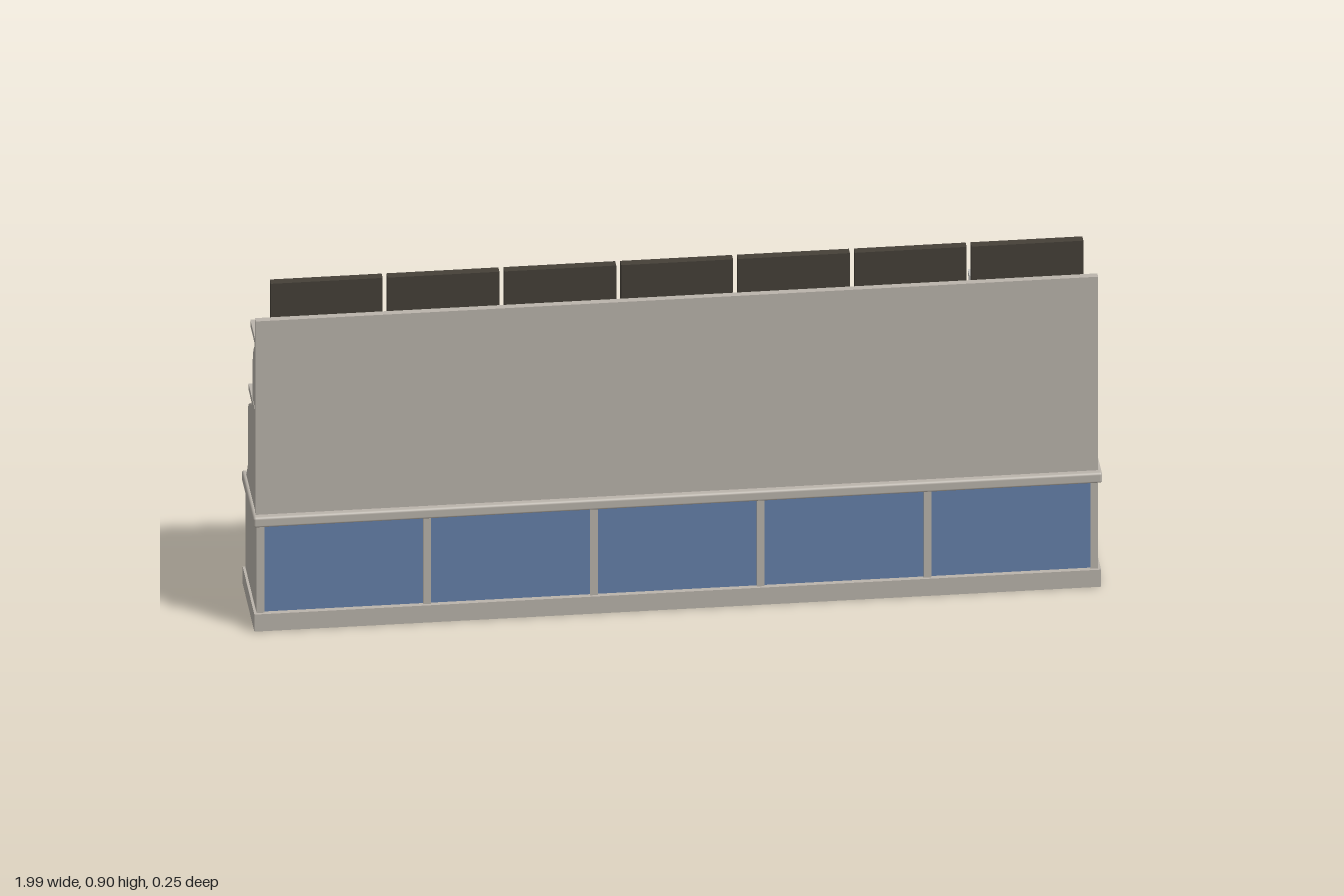
import * as THREE from 'three';
import { RoundedBoxGeometry } from 'three/addons/geometries/RoundedBoxGeometry.js';

const mat = (name, color) => {
  const m = new THREE.MeshStandardMaterial({ color });
  m.name = name;
  return m;
};

export function createModel() {
  const stone = mat('stone paint', 0xbab4ab);
  const glass = mat('blue glass', 0x6580aa);
  const wood = mat('dark wood', 0x454038);
  const taupe = mat('taupe board', 0x7d7666);
  const grey = mat('grey tag', 0xa0a0a0);
  const ochre = mat('ochre card', 0xb09a55);
  const red = mat('red card', 0xa83a35);
  const purple = mat('purple card', 0x8a7b93);
  const black = mat('black card', 0x26262a);
  const white = mat('white card', 0xcbcac6);
  const cards = { o: ochre, r: red, p: purple, b: black, w: white };
  const labels = { o: [ochre, black], r: [ochre, black], p: [white, black], b: [white, black], w: [white, black] };

  const root = new THREE.Group();
  root.name = 'shopShelving';

  // Box from its limits on each axis
  const box = (name, m, [x0, x1], [y0, y1], [z0, z1], parent = root) => {
    const mesh = new THREE.Mesh(new THREE.BoxGeometry(x1 - x0, y1 - y0, z1 - z0), m);
    mesh.position.set((x0 + x1) / 2, (y0 + y1) / 2, (z0 + z1) / 2);
    mesh.name = name;
    parent.add(mesh);
    return mesh;
  };

  // Base cabinet, open towards -z and glazed towards +z
  const uprights = [-0.98, -0.589, -0.198, 0.193, 0.584, 0.975];
  box('plinth', stone, [-0.995, 0.99], [0, 0.045], [-0.117, 0.124]);
  const counter = new THREE.Mesh(new RoundedBoxGeometry(1.99, 0.027, 0.244, 3, 0.006), stone);
  counter.position.set(-0.002, 0.285, 0.001);
  counter.name = 'counter';
  root.add(counter);
  uprights.forEach((x, i) => {
    box('cabinetDivider', stone, [x - 0.009, x + 0.009], [0.045, 0.273], [-0.115, 0.117]);
    if (i < 5) box('glassPane', glass, [x + 0.009, uprights[i + 1] - 0.009], [0.045, 0.273], [0.104, 0.111]);
  });

  // Upper panel and shelves
  box('frontPanel', stone, [-0.99, 0.985], [0.297, 0.808], [0.09, 0.107]);
  [[0.551, -0.041], [0.739, -0.003]].forEach(([y, z]) => {
    box('shelf', stone, [-0.99, 0.985], [y, y + 0.016], [z, 0.09]);
    box('shelfStrip', glass, [-0.97, 0.965], [y - 0.005, y], [z + 0.013, z + 0.019]);
  });

  // Wavy brackets, outline given in z and y
  const bracket = (pts, back) => {
    const s = new THREE.Shape();
    s.moveTo(back, pts[0][1]);
    s.lineTo(...pts[0]);
    s.splineThru(pts.slice(1).map(p => new THREE.Vector2(...p)));
    s.lineTo(back, pts[pts.length - 1][1]);
    const g = new THREE.ExtrudeGeometry(s, {
      depth: 0.014, bevelEnabled: true, bevelSize: 0.002, bevelThickness: 0.002,
      bevelOffset: -0.002, bevelSegments: 2, curveSegments: 20,
    });
    g.translate(0, 0, -0.007);
    return g.rotateY(-Math.PI / 2);
  };
  const lower = bracket([[-0.1, 0.298], [-0.085, 0.315], [-0.066, 0.342], [-0.057, 0.39], [-0.066, 0.44],
    [-0.061, 0.494], [-0.032, 0.52], [0.008, 0.538], [0.016, 0.552]], 0.093);
  const upper = bracket([[0.026, 0.566], [0.03, 0.6], [0.033, 0.66], [0.047, 0.7], [0.072, 0.727], [0.076, 0.74]], 0.093);
  uprights.forEach(x => [['lowerBracket', lower], ['upperBracket', upper]].forEach(([name, g]) => {
    const m = new THREE.Mesh(g, stone);
    m.position.x = x;
    m.name = name;
    root.add(m);
  }));

  // Price tags standing on the counter, two in each bay
  [-0.866, -0.71, -0.497, -0.345, -0.107, 0.03, 0.29, 0.43, 0.68, 0.82].forEach(x => {
    box('priceTag', grey, [x - 0.024, x + 0.024], [0.303, 0.328], [-0.105, -0.101]);
    box('priceTagFoot', grey, [x - 0.024, x + 0.024], [0.298, 0.303], [-0.113, -0.095]);
  });

  // Carton with lid, and printed plates on the shop side and ends
  const carton = (key, x, y, z, w, h, d) => {
    const g = new THREE.Group();
    g.name = 'carton';
    g.position.set(x, y, z);
    root.add(g);
    const [label, ink] = labels[key];
    box('cartonBody', cards[key], [-w / 2, w / 2], [0, h * 0.8], [-d / 2, d / 2], g);
    box('cartonLid', cards[key], [-w / 2 - 0.002, w / 2 + 0.002], [h * 0.76, h], [-d / 2 - 0.002, d / 2 + 0.002], g);
    const print = (len, place) => {
      const p = new THREE.Group();
      p.name = 'cartonPrint';
      place(p);
      g.add(p);
      box('label', label, [-len * 0.38, len * 0.38], [h * 0.15, h * 0.65], [0, 0.0008], p);
      for (let i = -1; i <= 1; i++) {
        const c = i * len * 0.23;
        box('mark', ink, [c - len * 0.075, c + len * 0.075], [h * 0.42, h * 0.56], [0, 0.0016], p);
        box('mark', ink, [c - len * 0.05, c + len * 0.08], [h * 0.2, h * 0.31], [0, 0.0016], p);
      }
    };
    print(w, p => { p.position.z = -d / 2; p.rotation.y = Math.PI; });
    for (const s of [-1, 1]) print(d, p => { p.position.x = s * w / 2; p.rotation.y = s * Math.PI / 2; });
  };

  // Stacks: x position and colours from the bottom up
  const stacks = (list, y, z, w, h, d) => list.forEach(([x, keys]) =>
    [...keys].forEach((k, i) => carton(k, x, y + i * h, z + i * 0.008, w, h, d)));

  stacks([[-0.76, 'w'], [-0.505, 'o'], [-0.253, 'p'], [-0.002, 'r'], [0.25, 'o'], [0.5, 'b'], [0.752, 'w']],
    0.755, 0.052, 0.125, 0.053, 0.03);
  stacks([[0.86, 'w'], [0.77, 'w'], [0.68, 'b'], [0.39, 'bw'], [0.29, 'o'], [0.09, 'b'], [0, 'o'], [-0.1, 'r'],
    [-0.31, 'o'], [-0.4, 'ro'], [-0.49, 'p'], [-0.7, 'r'], [-0.79, 'p'], [-0.88, 'o']],
  0.567, 0.011, 0.08, 0.07, 0.032);
  stacks([[0.87, 'o'], [0.77, 'ww'], [0.67, 'w'], [0.47, 'ww'], [0.37, 'w'], [0.275, 'wb'], [0.09, 'b'],
    [-0.01, 'oo'], [-0.11, 'r'], [-0.31, 'rr'], [-0.41, 'p'], [-0.5, 'oo'], [-0.69, 'w'], [-0.79, 'ww'], [-0.89, 'w']],
  0.298, -0.015, 0.085, 0.075, 0.06);
  stacks([[0.85, 'bb'], [0.755, 'oo'], [0.66, 'ro'], [0.46, 'oo'], [0.36, 'roo'], [0.265, 'wp'], [0.06, 'rro'],
    [-0.035, 'wp'], [-0.13, 'wo'], [-0.33, 'wp'], [-0.425, 'wo'], [-0.52, 'wo'], [-0.71, 'wo'], [-0.805, 'woo'], [-0.9, 'ww']],
  0.045, -0.045, 0.085, 0.05, 0.09);

  // Top boards with a recessed face and raised dark silhouettes
  for (let i = 0; i < 7; i++) {
    const c = (i - 3) * 0.2738;
    const g = new THREE.Group();
    g.name = 'topBoard';
    g.position.set(c, 0.757, 0);
    root.add(g);
    box('boardBack', wood, [-0.131, 0.131], [0.004, 0.139], [0.072, 0.09], g);
    box('boardFace', taupe, [-0.122, 0.122], [0.012, 0.131], [0.07, 0.073], g);
    for (const s of [-1, 1]) box('boardRim', wood, [s * 0.1265 - 0.0045, s * 0.1265 + 0.0045], [0.004, 0.139], [0.068, 0.072], g);
    for (const y of [0.008, 0.135]) box('boardRim', wood, [-0.131, 0.131], [y - 0.004, y + 0.004], [0.068, 0.072], g);
    if (i % 2) {
      box('silhouetteBar', wood, [-0.085, 0.085], [0.07, 0.085], [0.066, 0.07], g);
      [-0.06, -0.02, 0.02, 0.06].forEach((x, k) =>
        box('silhouettePost', wood, [x - 0.008, x + 0.008], [0.012, k % 2 ? 0.1 : 0.07], [0.066, 0.07], g));
    } else {
      [0.06, 0.035, 0.085, 0.05, 0.07].forEach((h, k) => {
        const x = (k - 2) * 0.042;
        box('silhouettePost', wood, [x - 0.01, x + 0.01], [0.012, 0.012 + h], [0.066, 0.07], g);
      });
    }
  }
  return root;
}
